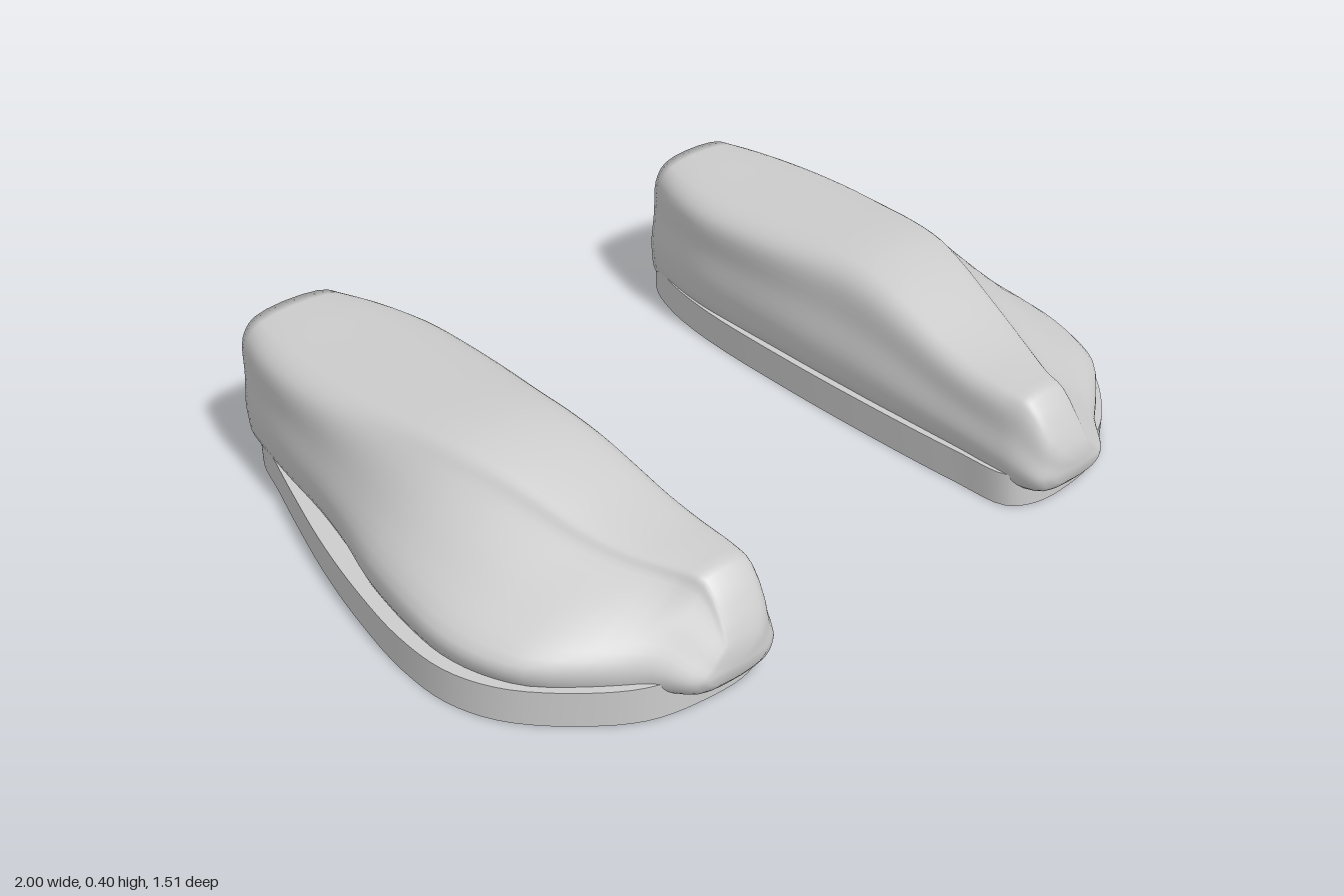
import * as THREE from 'three';
import { toCreasedNormals, mergeVertices } from 'three/addons/utils/BufferGeometryUtils.js';

// Upper cross-sections from heel to toe:
// z, inner x, outer x, top inner x, top outer x, top height, bottom height
const SECTIONS = [
  [-0.71, 0.490, 0.800, 0.510, 0.785, 0.378, 0.045],
  [-0.60, 0.450, 0.828, 0.465, 0.815, 0.380, 0.060],
  [-0.45, 0.418, 0.855, 0.430, 0.835, 0.381, 0.070],
  [-0.30, 0.410, 0.875, 0.425, 0.835, 0.384, 0.070],
  [-0.15, 0.405, 0.905, 0.430, 0.820, 0.388, 0.070],
  [0.00, 0.400, 0.945, 0.440, 0.800, 0.392, 0.070],
  [0.10, 0.398, 0.962, 0.440, 0.780, 0.388, 0.070],
  [0.20, 0.396, 0.973, 0.435, 0.750, 0.370, 0.070],
  [0.30, 0.396, 0.975, 0.430, 0.720, 0.340, 0.070],
  [0.40, 0.396, 0.955, 0.425, 0.690, 0.308, 0.070],
  [0.50, 0.396, 0.905, 0.420, 0.650, 0.286, 0.070],
  [0.60, 0.398, 0.790, 0.420, 0.600, 0.276, 0.060],
  [0.66, 0.402, 0.710, 0.430, 0.580, 0.268, 0.052],
  [0.72, 0.425, 0.660, 0.450, 0.580, 0.190, 0.055],
  [0.742, 0.465, 0.625, 0.480, 0.585, 0.145, 0.072],
];
const HEEL_TIP = [0.635, 0.22, -0.755];
const TOE_TIP = [0.545, 0.105, 0.752];
const RING = 48;

// One rounded, lopsided cross-section loop
function ring([z, xi, xo, ti, to, h, yb]) {
  const low = yb + (h - yb) * 0.27;
  const mid = yb + (h - yb) * 0.58;
  const r = (h - yb) * 0.12;
  const w = (to - ti) * 0.14;
  const pts = [
    [xi + 0.025, yb], [xi, low], [xi * 0.5 + ti * 0.5, mid], [ti, h - r], [ti + w, h],
    [to - w, h], [to, h - r], [xo * 0.55 + to * 0.45, mid], [xo, low], [xo - 0.025, yb],
  ].map(([x, y]) => new THREE.Vector3(x, y, z));
  return new THREE.CatmullRomCurve3(pts, true, 'centripetal').getPoints(RING).slice(0, RING);
}

// Loft the loops and close both ends with shallow points
function upperGeometry() {
  const base = SECTIONS.map(ring);
  const steps = (SECTIONS.length - 1) * 3;
  const rails = base[0].map((_, j) =>
    new THREE.CatmullRomCurve3(base.map(r => r[j]), false, 'centripetal').getPoints(steps));
  const pos = [];
  const index = [];
  for (let i = 0; i <= steps; i++) rails.forEach(rail => pos.push(...rail[i].toArray()));
  const heel = (steps + 1) * RING;
  const toe = heel + 1;
  pos.push(...HEEL_TIP, ...TOE_TIP);
  for (let j = 0; j < RING; j++) {
    const k = (j + 1) % RING;
    for (let i = 0; i < steps; i++) {
      const a = i * RING + j, b = i * RING + k;
      index.push(a, a + RING, b, b, a + RING, b + RING);
    }
    index.push(heel, j, k, toe, steps * RING + k, steps * RING + j);
  }
  const g = new THREE.BufferGeometry();
  g.setAttribute('position', new THREE.Float32BufferAttribute(pos, 3));
  g.setIndex(index);
  g.computeVertexNormals();
  return g;
}

// Flat sole, outline given as x, z
function soleGeometry() {
  const outline = [
    [0.54, -0.74], [0.74, -0.74], [0.79, -0.68], [0.83, -0.55], [0.875, -0.4], [0.93, -0.2],
    [0.972, 0], [0.998, 0.2], [0.99, 0.35], [0.94, 0.47], [0.83, 0.59], [0.72, 0.665],
    [0.60, 0.692], [0.47, 0.69], [0.405, 0.65], [0.392, 0.5], [0.388, 0.2],
    [0.395, -0.1], [0.415, -0.4], [0.45, -0.58], [0.50, -0.7],
  ].map(([x, z]) => new THREE.Vector3(x, -z, 0));
  const curve = new THREE.CatmullRomCurve3(outline, true, 'centripetal');
  const shape = new THREE.Shape(curve.getPoints(90).slice(0, 90).map(p => new THREE.Vector2(p.x, p.y)));
  const g = new THREE.ExtrudeGeometry(shape, { depth: 0.086, bevelEnabled: false });
  g.rotateX(-Math.PI / 2);
  g.deleteAttribute('uv');
  return toCreasedNormals(g, 0.7);
}

// Mirror across x and restore the face direction
function mirrored(source) {
  const g = source.index ? source.clone() : mergeVertices(source);
  for (const name of ['position', 'normal']) {
    const a = g.attributes[name];
    for (let i = 0; i < a.count; i++) a.setX(i, -a.getX(i));
  }
  const idx = g.index.array;
  for (let i = 0; i < idx.length; i += 3) [idx[i], idx[i + 1]] = [idx[i + 1], idx[i]];
  return g;
}

export function createModel() {
  const grey = new THREE.MeshStandardMaterial({ color: 0xcccccc });
  grey.name = 'light grey';
  const model = new THREE.Group();
  model.name = 'pairOfShoes';
  const parts = { upper: upperGeometry(), sole: soleGeometry() };

  for (const side of ['left', 'right']) {
    const shoe = new THREE.Group();
    shoe.name = side + 'Shoe';
    for (const [name, geometry] of Object.entries(parts)) {
      const mesh = new THREE.Mesh(side === 'left' ? geometry : mirrored(geometry), grey);
      mesh.name = name;
      shoe.add(mesh);
    }
    model.add(shoe);
  }
  return model;
}
